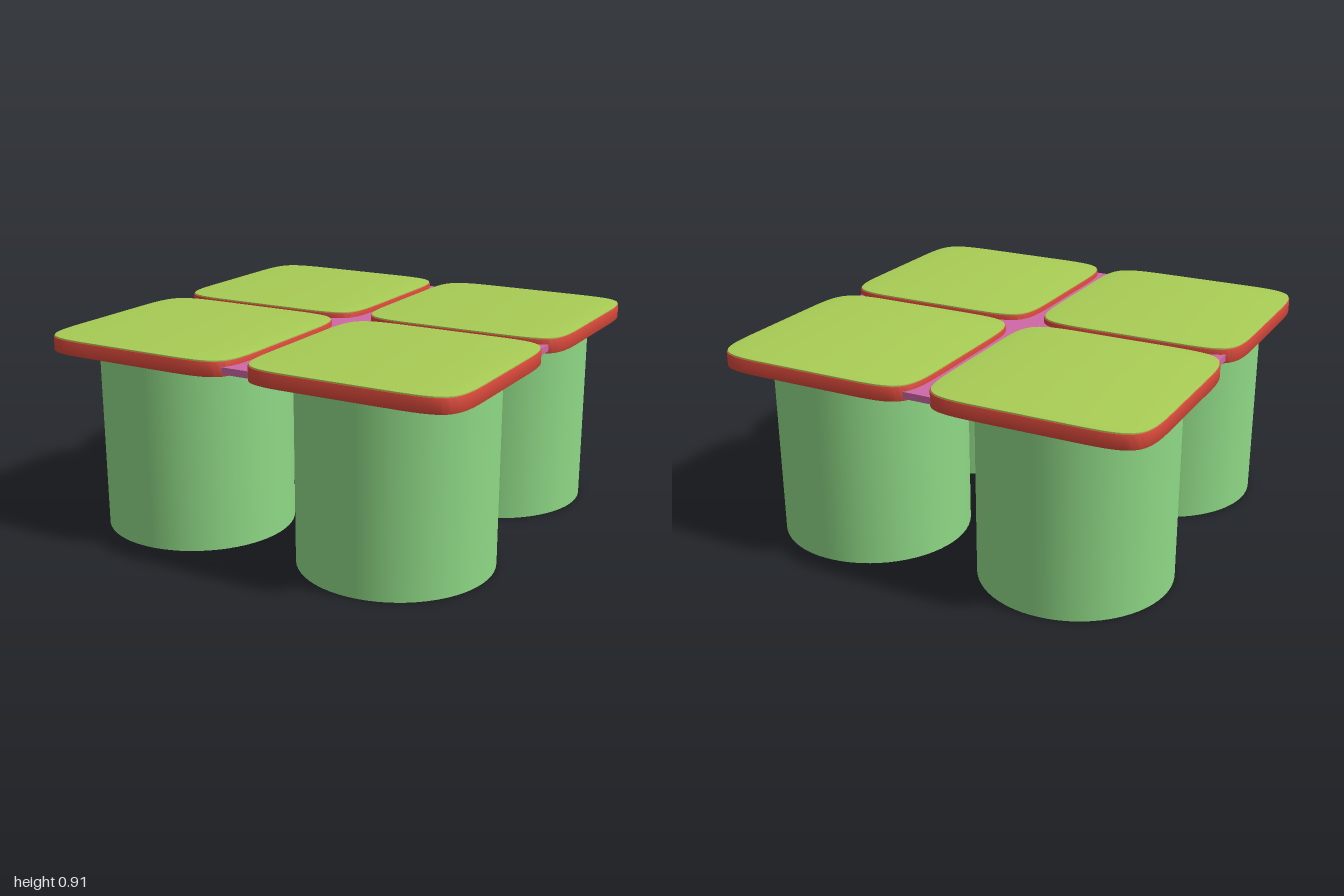
import * as THREE from 'three';
import { toCreasedNormals } from 'three/addons/utils/BufferGeometryUtils.js';

const material = (color) => new THREE.MeshStandardMaterial({ color });

// Square outline with soft, long-blended corners
function softSquare(half, r) {
  const s = new THREE.Shape();
  const k = r * 0.1; // handle distance from the true corner
  const h = half, a = half - r, c = half - k;
  s.moveTo(-a, -h);
  s.lineTo(a, -h);
  s.bezierCurveTo(c, -h, h, -c, h, -a);
  s.lineTo(h, a);
  s.bezierCurveTo(h, c, c, h, a, h);
  s.lineTo(-a, h);
  s.bezierCurveTo(-c, h, -h, c, -h, a);
  s.lineTo(-h, -a);
  s.bezierCurveTo(-h, -c, -c, -h, -a, -h);
  return s;
}

// Horizontal slab between two heights, with a small bevel
function slab(half, y0, y1, bevel) {
  const geo = new THREE.ExtrudeGeometry(softSquare(half - bevel, 0.27), {
    depth: y1 - y0 - 2 * bevel,
    bevelEnabled: true,
    bevelThickness: bevel,
    bevelSize: bevel,
    bevelSegments: 2,
    curveSegments: 20,
  });
  geo.rotateX(-Math.PI / 2);
  geo.translate(0, y0 + bevel, 0);
  return toCreasedNormals(geo, 0.6);
}

export function createModel() {
  const model = new THREE.Group();
  model.name = 'clusterTable';

  const green = material(0x8fd986);
  const red = material(0xd8483a);
  const lime = material(0xa9cd55);
  const pink = material(0xd068a8);

  const add = (parent, name, geo, mat, x = 0, y = 0, z = 0) => {
    const mesh = new THREE.Mesh(geo, mat);
    mesh.name = name;
    mesh.position.set(x, y, z);
    parent.add(mesh);
  };

  const legGeo = new THREE.CylinderGeometry(0.432, 0.432, 0.85, 64);
  const trayGeo = slab(0.4875, 0.84, 0.904, 0.003);
  const padGeo = slab(0.484, 0.9, 0.91, 0.002);

  // Four identical drum-legged tops
  for (const sx of [-1, 1]) {
    for (const sz of [-1, 1]) {
      const unit = new THREE.Group();
      unit.name = (sz > 0 ? 'front' : 'back') + (sx > 0 ? 'Left' : 'Right') + 'Unit';
      unit.position.set(sx * 0.5125, 0, sz * 0.5105);
      add(unit, 'drumLeg', legGeo, green, 0, 0.425, 0);
      add(unit, 'tray', trayGeo, red);
      add(unit, 'topPad', padGeo, lime);
      model.add(unit);
    }
  }

  // Cross of thin connecting strips tucked into the trays
  add(model, 'longConnector', new THREE.BoxGeometry(0.2, 0.03, 1.895), pink, 0, 0.866, 0);
  for (const s of [-1, 1]) {
    add(model, 'sideConnector', new THREE.BoxGeometry(0.8475, 0.03, 0.2), pink, s * 0.52375, 0.866, 0);
  }
  return model;
}
